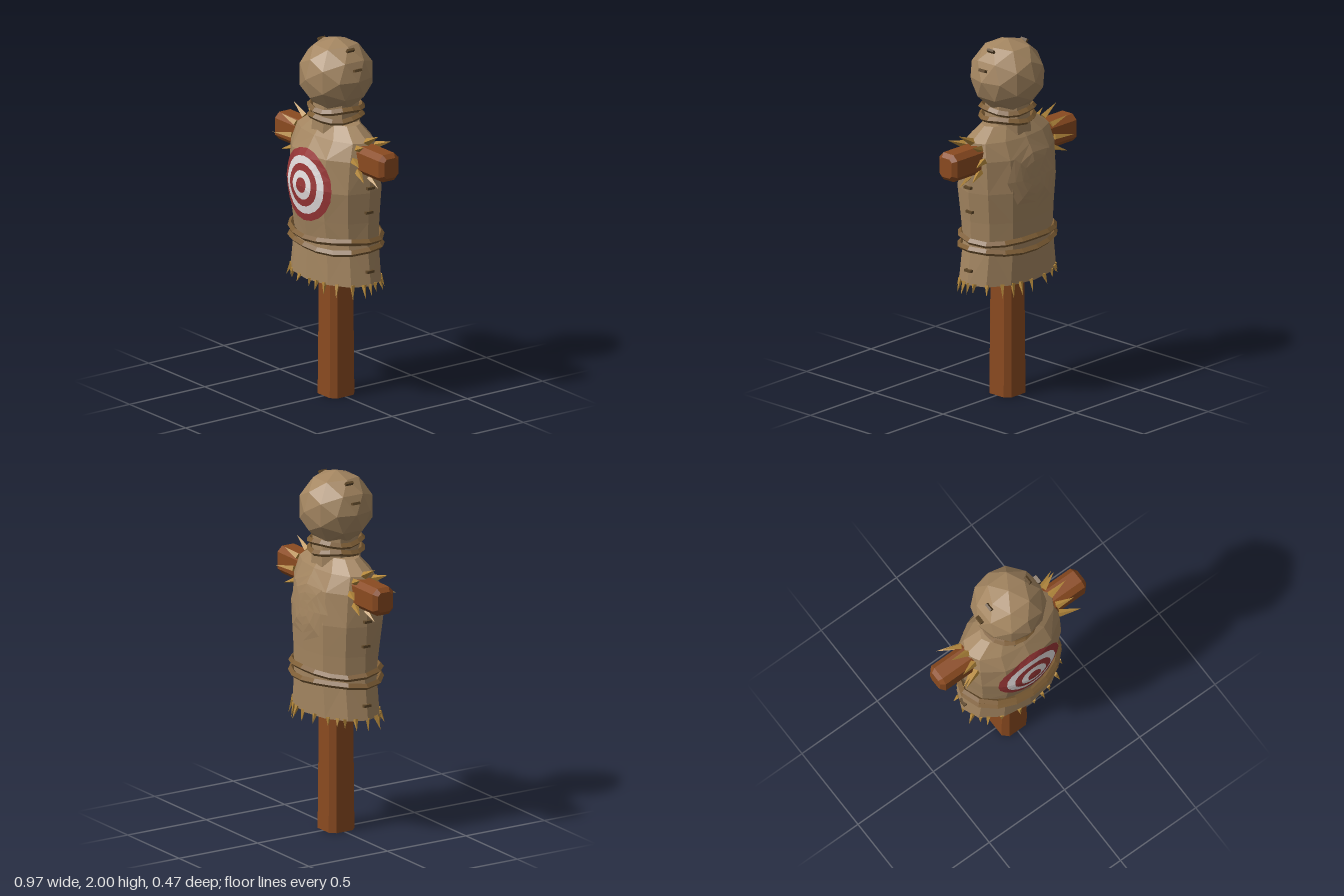
import * as THREE from 'three';

const mat = (name, color) => Object.assign(new THREE.MeshStandardMaterial({ color, flatShading: true }), { name });

export function createModel() {
  const group = new THREE.Group();
  const burlap = mat('burlap', 0xa38560), wood = mat('wood', 0x8a4a20), rope = mat('rope', 0x7d5d35);
  const straw = mat('straw', 0xb4883c), red = mat('target red', 0x983636), white = mat('target white', 0xe2dcdc);
  const stitchMat = mat('stitch', 0x5e4729);
  burlap.side = THREE.DoubleSide;

  const add = (name, geo, material, parent = group) => {
    const m = new THREE.Mesh(geo, material);
    m.name = name;
    parent.add(m);
    return m;
  };
  const sub = (name) => {
    const g = new THREE.Group();
    g.name = name;
    group.add(g);
    return g;
  };

  // Sack body profile: height, half width, front depth, back depth
  const rows = [
    [0.68, 0.312, 0.2, 0.2], [0.9, 0.282, 0.19, 0.202], [1.03, 0.288, 0.212, 0.205], [1.2, 0.304, 0.235, 0.212],
    [1.38, 0.304, 0.206, 0.19], [1.475, 0.285, 0.145, 0.14], [1.545, 0.18, 0.09, 0.09],
  ];
  const section = (y) => {
    let i = 0;
    while (i < rows.length - 2 && y > rows[i + 1][0]) i++;
    const t = (y - rows[i][0]) / (rows[i + 1][0] - rows[i][0]);
    return rows[i].map((v, k) => THREE.MathUtils.lerp(v, rows[i + 1][k], t));
  };
  const onBody = (a, y) => {
    const [, w, f, b] = section(y);
    const s = Math.sin(a);
    return new THREE.Vector3(w * Math.cos(a), y, s * (s > 0 ? f : b));
  };

  // Sack body
  const N = 12, pos = [];
  const tri = (...pts) => pts.forEach((p) => pos.push(p.x, p.y, p.z));
  for (let j = 0; j < N; j++) {
    const a0 = (j / N) * Math.PI * 2, a1 = ((j + 1) / N) * Math.PI * 2;
    for (let i = 0; i < rows.length - 1; i++) {
      const y0 = rows[i][0], y1 = rows[i + 1][0];
      const a = onBody(a0, y0), b = onBody(a1, y0), c = onBody(a1, y1), d = onBody(a0, y1);
      if ((i + j) % 2) tri(a, d, b, b, d, c);
      else tri(a, d, c, a, c, b);
    }
    tri(new THREE.Vector3(0, 1.55, 0), onBody(a1, 1.545), onBody(a0, 1.545));
  }
  const bodyGeo = new THREE.BufferGeometry();
  bodyGeo.setAttribute('position', new THREE.Float32BufferAttribute(pos, 3));
  bodyGeo.computeVertexNormals();
  add('sackBody', bodyGeo, burlap);

  // Straw filling seen from underneath
  const filling = add('strawFilling', new THREE.CircleGeometry(1, N).rotateX(Math.PI / 2), straw);
  filling.scale.set(0.306, 1, 0.196);
  filling.position.y = 0.71;

  // Rings laid over the curved sack
  const drape = (name, r0, r1, segs, bands, cy, side, material, parent) => {
    const geo = new THREE.RingGeometry(r0, r1, segs, bands);
    if (side < 0) geo.rotateY(Math.PI);
    const p = geo.attributes.position;
    for (let i = 0; i < p.count; i++) {
      const x = p.getX(i), y = p.getY(i) + cy;
      const [, w, f, b] = section(y);
      p.setXYZ(i, x, y, side * ((side > 0 ? f : b) * Math.sqrt(1 - (x / w) ** 2) + 0.004));
    }
    geo.computeVertexNormals();
    add(name, geo, material, parent);
  };
  const target = sub('target');
  [0.001, 0.042, 0.08, 0.118, 0.16, 0.2].forEach((r, i, all) => {
    if (i) drape('targetRing' + i, all[i - 1], r, 20, 1, 1.212, 1, i % 2 ? red : white, target);
  });
  drape('backPatch', 0.001, 0.18, 8, 4, 1.26, -1, burlap, group);

  // Head and neck
  add('head', new THREE.IcosahedronGeometry(0.204, 1), burlap).position.y = 1.796;
  const neck = add('neck', new THREE.CylinderGeometry(0.125, 0.135, 0.17, 8), burlap);
  neck.rotation.y = Math.PI / 8;
  neck.position.y = 1.575;

  // Chamfered timbers
  const timber = (w, h, len, c, bevel) => {
    const x = w / 2 - bevel, y = h / 2 - bevel;
    const s = new THREE.Shape([[x - c, -y], [x, c - y], [x, y - c], [x - c, y], [c - x, y], [-x, y - c], [-x, c - y], [c - x, -y]]
      .map(([u, v]) => new THREE.Vector2(u, v)));
    const geo = new THREE.ExtrudeGeometry(s, {
      depth: len - 2 * bevel, bevelEnabled: bevel > 0, bevelSize: bevel, bevelThickness: bevel, bevelSegments: 1,
    });
    return geo.translate(0, 0, bevel - len / 2);
  };
  const postGeo = timber(0.168, 0.164, 1.45, 0.03, 0).rotateX(-Math.PI / 2).translate(0, 0.725, 0);
  const pp = postGeo.attributes.position;
  for (let i = 0; i < pp.count; i++) {
    const k = 1 - 0.1 * pp.getY(i);
    pp.setX(i, pp.getX(i) * k);
    pp.setZ(i, pp.getZ(i) * k);
  }
  add('post', postGeo, wood);
  add('crossbar', timber(0.132, 0.152, 0.968, 0.016, 0.022).rotateY(Math.PI / 2), wood).position.set(0, 1.386, -0.004);

  // Ropes, each a lumpy closed loop
  const ropes = sub('ropes');
  const loop = (name, y, rx, rz, phase, tube) => {
    const pts = [];
    for (let i = 0; i < 12; i++) {
      const a = (i / 12) * Math.PI * 2;
      pts.push(new THREE.Vector3(rx * Math.cos(a), y + 0.008 * Math.sin(3 * a + phase), rz * Math.sin(a)));
    }
    add(name, new THREE.TubeGeometry(new THREE.CatmullRomCurve3(pts, true), 16, tube, 4, true), rope, ropes);
  };
  loop('waistRopeUpper', 0.922, 0.292, 0.21, 0, 0.018);
  loop('waistRopeLower', 0.87, 0.294, 0.211, 2, 0.018);
  loop('neckRopeUpper', 1.618, 0.138, 0.14, 1, 0.018);
  loop('neckRopeLower', 1.568, 0.138, 0.14, 3, 0.018);

  // Straw spikes
  const up = new THREE.Vector3(0, 1, 0);
  const spike = (name, base, dir, len, r, parent) => {
    const m = add(name, new THREE.ConeGeometry(r, len, 4).translate(0, len / 2, 0), straw, parent);
    m.position.copy(base);
    m.quaternion.setFromUnitVectors(up, dir.normalize());
  };
  const fringe = sub('hemStraw');
  for (let i = 0; i < 24; i++) {
    const a = ((i + 0.3 * Math.sin(i * 5)) / 24) * Math.PI * 2;
    const base = onBody(a, 0.69).multiply(new THREE.Vector3(0.97, 1, 0.97));
    const lean = 0.3 + 0.2 * Math.sin(i * 3);
    spike('hemSpike', base, new THREE.Vector3(Math.cos(a) * lean, -1, Math.sin(a) * lean), 0.065 + 0.018 * Math.sin(i * 7), 0.014, fringe);
  }
  const cuffs = sub('cuffStraw');
  for (const s of [1, -1]) {
    for (let i = 0; i < 8; i++) {
      const a = (i / 8) * Math.PI * 2 + Math.PI / 2;
      const c = Math.cos(a), n = Math.sin(a), len = i % 2 ? 0.105 : 0.12;
      spike('cuffSpike', new THREE.Vector3(s * 0.275, 1.39 + n * 0.09, c * 0.085),
        new THREE.Vector3(s, n * 0.55, c * 0.45), len, 0.021, cuffs);
    }
  }

  // Side seam stitches on sack and head
  const stitches = sub('stitches');
  for (const s of [1, -1]) {
    for (const [x, y, tilt] of [[0.306, 1.23, 0], [0.292, 1.09, 0], [0.302, 0.76, 0], [0.192, 1.86, 0.3], [0.128, 1.955, 0.9]]) {
      const m = add('stitch', new THREE.BoxGeometry(0.02, 0.014, 0.046), stitchMat, stitches);
      m.position.set(s * x, y, 0);
      m.rotation.z = s * tilt;
    }
  }
  return group;
}
